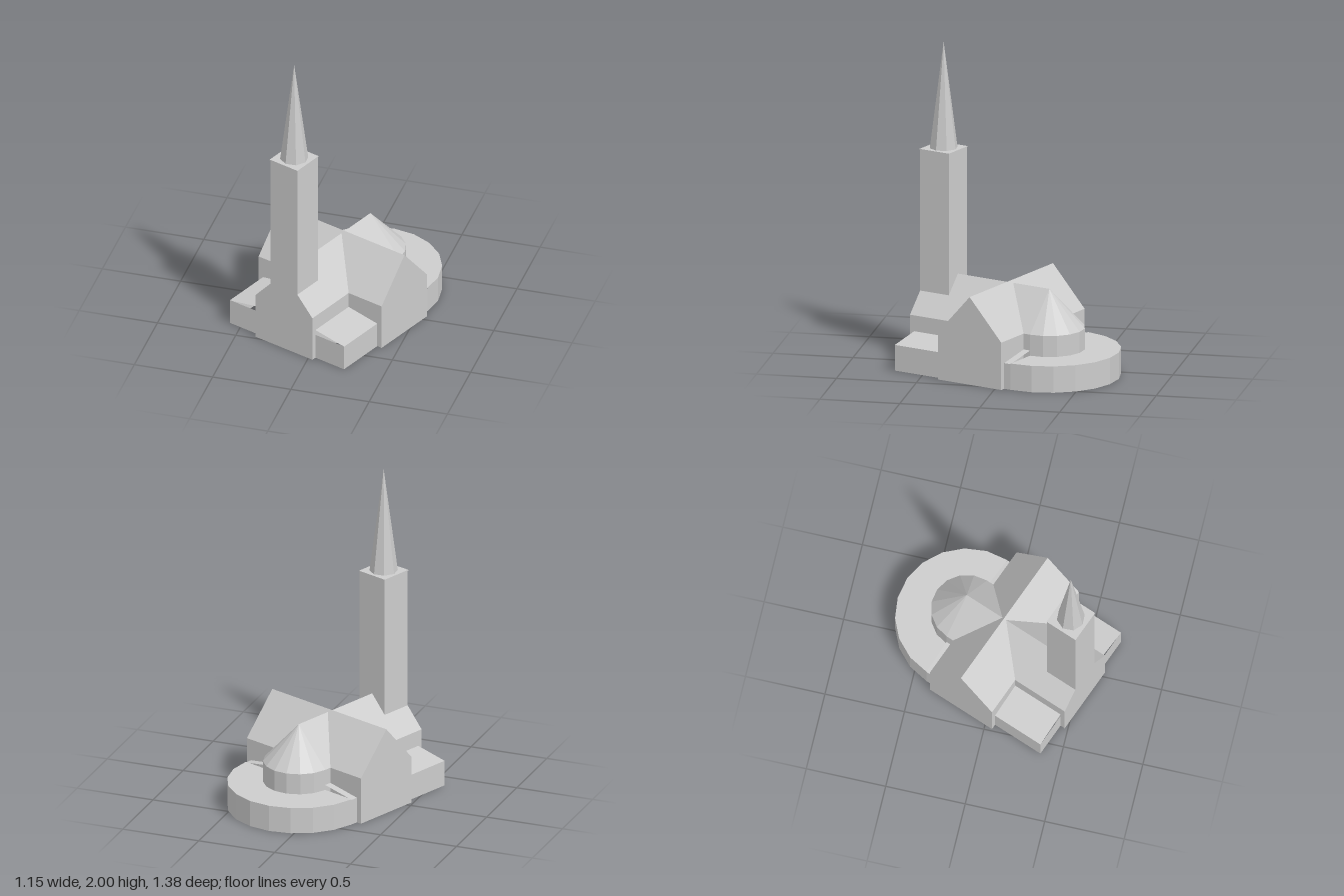
import * as THREE from 'three';

const stone = new THREE.MeshStandardMaterial({ color: 0xcccccc, flatShading: true, side: THREE.DoubleSide });
stone.name = 'pale grey stone';

function add(parent, name, geometry, x = 0, y = 0, z = 0) {
  const mesh = new THREE.Mesh(geometry, stone);
  mesh.name = name;
  mesh.position.set(x, y, z);
  parent.add(mesh);
  return mesh;
}

// Open shell: a profile (from +x over to -x) swept along z
function shell(profile, z0, z1) {
  const v = [];
  for (let i = 0; i < profile.length - 1; i++) {
    const [ax, ay] = profile[i], [bx, by] = profile[i + 1];
    v.push(ax, ay, z1, ax, ay, z0, bx, by, z0, ax, ay, z1, bx, by, z0, bx, by, z1);
  }
  const g = new THREE.BufferGeometry();
  g.setAttribute('position', new THREE.Float32BufferAttribute(v, 3));
  g.computeVertexNormals();
  return g;
}

const house = (w, eaves, ridge) => [[w, 0], [w, eaves], [0, ridge], [-w, eaves], [-w, 0]];
const face = (profile) => new THREE.ShapeGeometry(new THREE.Shape(profile.map(([x, y]) => new THREE.Vector2(x, y))));

export function createModel() {
  const model = new THREE.Group();
  model.name = 'church';
  const church = new THREE.Group();
  church.name = 'churchBody';
  church.position.set(0.037, 0, 0.002);
  church.rotation.y = -0.3645;
  model.add(church);

  const FRONT = 0.596, APSE = -0.277;

  // Nave with its front gable
  const naveProfile = house(0.22, 0.3, 0.541);
  add(church, 'nave', shell(naveProfile, APSE, FRONT));
  add(church, 'naveGable', face(naveProfile), 0, 0, FRONT);

  // Transept crossing the nave, gabled at both ends
  const transept = new THREE.Group();
  transept.name = 'transept';
  transept.rotation.y = Math.PI / 2;
  church.add(transept);
  const transeptProfile = house(0.23, 0.3, 0.556);
  add(transept, 'transeptShell', shell(transeptProfile, -0.474, 0.474));
  for (const s of [1, -1]) {
    const gable = add(transept, 'transeptGable', face(transeptProfile), 0, 0, s * 0.474);
    if (s < 0) gable.rotation.y = Math.PI;
  }

  // Low side aisles with lean-to roofs
  for (const s of [1, -1]) {
    const aisle = new THREE.Group();
    aisle.name = s > 0 ? 'leftAisle' : 'rightAisle';
    aisle.scale.x = s;
    church.add(aisle);
    add(aisle, 'aisleShell', shell([[0.44, 0], [0.44, 0.163], [0.22, 0.2]], APSE, 0.565));
    add(aisle, 'aisleFrontWall', new THREE.PlaneGeometry(0.22, 0.165), 0.33, 0.0825, 0.565);
  }

  // Half-round apse with a half-cone roof
  const half = (rTop, rBottom, h, n) =>
    new THREE.CylinderGeometry(rTop, rBottom, h, n, 1, true, Math.PI / 2, Math.PI);
  add(church, 'apseWall', half(0.22, 0.22, 0.3, 8), 0, 0.15, APSE);
  add(church, 'apseRoof', half(0, 0.22, 0.241, 8), 0, 0.4205, APSE);

  // Low walkway ring around the apse
  add(church, 'ambulatoryWall', half(0.44, 0.44, 0.167, 10), 0, 0.0835, APSE);
  const ringTop = new THREE.RingGeometry(0.21, 0.44, 10, 1, 0, Math.PI).rotateX(-Math.PI / 2);
  add(church, 'ambulatoryRoof', ringTop, 0, 0.167, APSE);

  // Square tower, thin cap and eight-sided spire
  const r = 0.104 * Math.SQRT2, towerZ = FRONT - 0.104;
  const tower = new THREE.CylinderGeometry(r, r, 1.32, 4, 1, true).rotateY(Math.PI / 4);
  add(church, 'tower', tower, 0, 0.66, towerZ);
  add(church, 'towerCap', new THREE.BoxGeometry(0.214, 0.006, 0.214), 0, 1.323, towerZ);
  add(church, 'spire', new THREE.CylinderGeometry(0, 0.087, 0.674, 8, 1, true), 0, 1.663, towerZ);

  return model;
}
